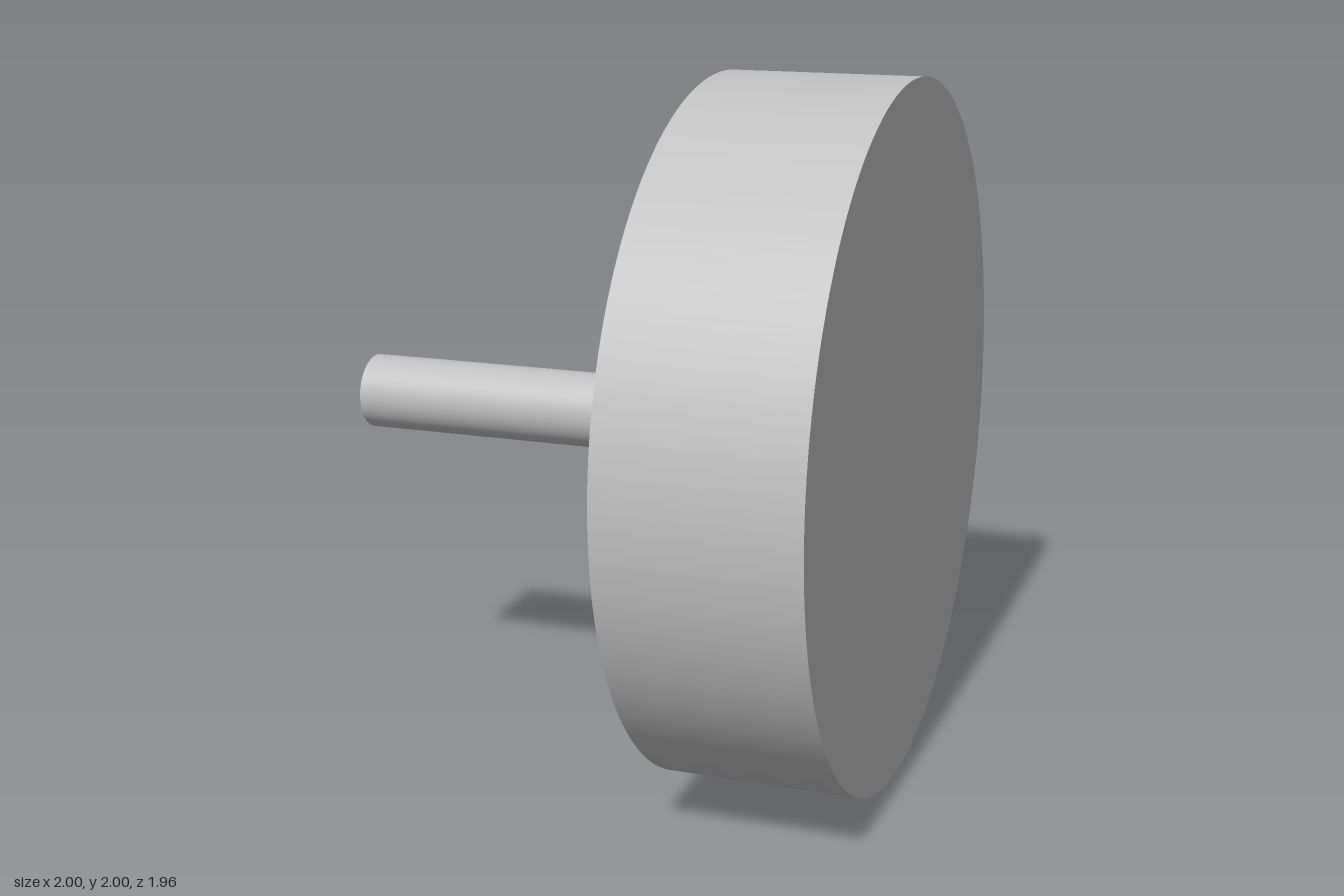
import * as THREE from 'three';

export function createModel() {
  const model = new THREE.Group();
  model.name = 'discOnShaft';

  const grey = new THREE.MeshStandardMaterial({ color: 0xc0c0c0 });
  grey.name = 'grey';

  // Horizontal axis shared by both parts, and the centre of the disc's flat front
  const axis = new THREE.Vector3(0.826, 0, 0.564).normalize();
  const faceCentre = new THREE.Vector3(0.436, 1, 0.155);

  // Cylinder running between two distances behind the front face
  function addCylinder(name, radius, near, far, sides) {
    const mesh = new THREE.Mesh(new THREE.CylinderGeometry(radius, radius, far - near, sides), grey);
    mesh.name = name;
    mesh.quaternion.setFromUnitVectors(new THREE.Vector3(0, 1, 0), axis);
    mesh.position.copy(faceCentre).addScaledVector(axis, -(near + far) / 2);
    model.add(mesh);
  }

  addCylinder('disc', 1, 0, 0.55, 128);
  addCylinder('shaft', 0.11, 0.55, 1.663, 64);

  return model;
}
